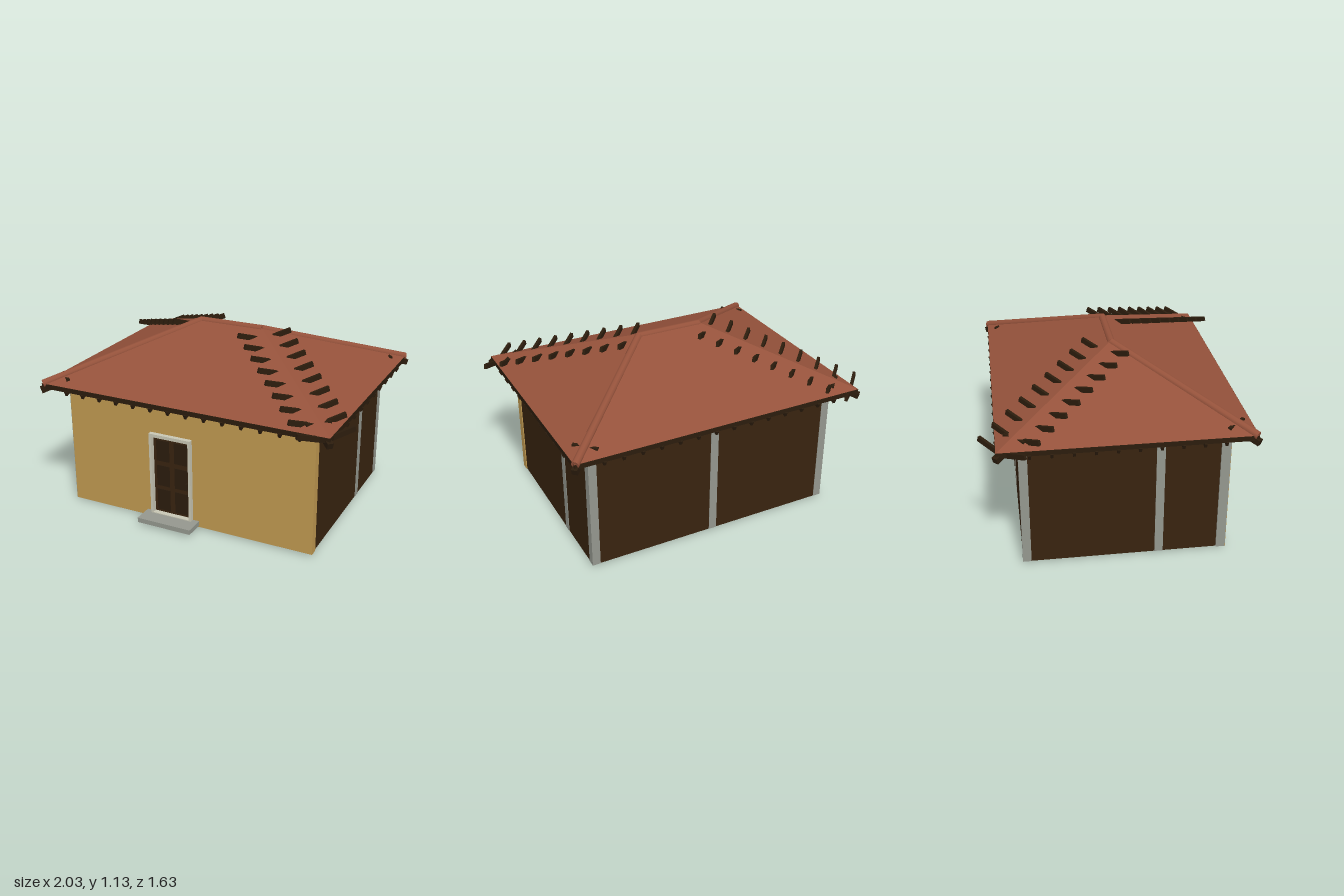
import * as THREE from 'three';

const mat = (name, color, side = THREE.FrontSide) => {
  const m = new THREE.MeshStandardMaterial({ color, side });
  m.name = name;
  return m;
};

export function createModel() {
  const root = new THREE.Group();
  root.name = 'house';

  const plaster = mat('ochre plaster', 0xbf9850);
  const tile = mat('terracotta tile', 0x95523b, THREE.DoubleSide);
  const timber = mat('dark timber', 0x2b1c0d, THREE.DoubleSide);
  const panelling = mat('brown panelling', 0x38230f);
  const stone = mat('grey stone', 0x94978e);
  const trim = mat('pale trim', 0xc8c6b4);

  const add = (geo, material, name, parent = root) => {
    const m = new THREE.Mesh(geo, material);
    m.name = name;
    parent.add(m);
    return m;
  };
  // Box given by its extents on each axis
  const box = (name, material, x0, x1, y0, y1, z0, z1, parent) => {
    const m = add(new THREE.BoxGeometry(x1 - x0, y1 - y0, z1 - z0), material, name, parent);
    m.position.set((x0 + x1) / 2, (y0 + y1) / 2, (z0 + z1) / 2);
    return m;
  };
  // Square beam running between two points
  const beam = (name, material, a, b, w, h, parent) => {
    const p = new THREE.Vector3(...a), q = new THREE.Vector3(...b);
    const m = add(new THREE.BoxGeometry(w, h, p.distanceTo(q)), material, name, parent);
    m.position.copy(p).lerp(q, 0.5);
    m.lookAt(q);
    return m;
  };
  const rect = (s, x0, x1, y0, y1) =>
    s.moveTo(x0, y0).lineTo(x1, y0).lineTo(x1, y1).lineTo(x0, y1).closePath();
  // Rectangular slab with a rectangular hole
  const pierced = (outer, hole, z0, z1) => {
    const s = rect(new THREE.Shape(), ...outer);
    s.holes.push(rect(new THREE.Path(), ...hole));
    return new THREE.ExtrudeGeometry(s, { depth: z1 - z0, bevelEnabled: false }).translate(0, 0, z0);
  };

  // Walls
  const walls = new THREE.Group();
  walls.name = 'walls';
  root.add(walls);
  const base = 0.01, top = 0.785;
  add(pierced([-0.803, 0.803, base, top], [-0.24, 0.035, 0.05, 0.575], 0.55, 0.602), plaster, 'frontWall', walls);
  box('backWall', panelling, -0.76, 0.76, base, top, -0.597, -0.56, walls);
  box('backTopPlate', stone, -0.76, 0.76, 0.772, 0.79, -0.6, -0.55, walls);
  for (const s of [1, -1]) {
    const x0 = s > 0 ? 0.76 : -0.797, x1 = s > 0 ? 0.797 : -0.76;
    box('sideWall', panelling, x0, x1, base, top, -0.56, 0.55, walls);
    const px = s > 0 ? 0.75 : -0.8;
    box('sideTopPlate', stone, px, px + 0.05, 0.772, 0.79, -0.56, 0.55, walls);
    box('cornerPillar', stone, px, px + 0.05, base, top, -0.6, -0.55, walls);
    box('sidePillar', stone, px, px + 0.05, base, top, -0.2 * s - 0.025, -0.2 * s + 0.025, walls);
  }
  box('backPillar', stone, -0.025, 0.025, base, top, -0.6, -0.55, walls);
  box('frontCornerPillar', stone, -0.806, -0.76, base, top, 0.545, 0.6, walls);

  // Door, frame and steps
  const door = new THREE.Group();
  door.name = 'door';
  root.add(door);
  add(pierced([-0.24, 0.035, 0.05, 0.58], [-0.225, 0.02, 0.055, 0.56], 0.545, 0.63), trim, 'doorFrame', door);
  box('doorLeaf', panelling, -0.226, 0.021, 0.052, 0.561, 0.57, 0.598, door);
  for (const x of [-0.205, -0.085])
    for (const [y0, y1] of [[0.07, 0.21], [0.235, 0.37], [0.4, 0.535]])
      box('doorPanel', timber, x, x + 0.085, y0, y1, 0.598, 0.604, door);
  box('doorHandle', timber, -0.003, 0.007, 0.25, 0.29, 0.598, 0.618, door);
  box('upperStep', stone, -0.28, 0.075, 0.02, 0.05, 0.6, 0.725);
  box('lowerStep', stone, -0.27, 0.06, 0, 0.02, 0.6, 0.67);

  // Hipped roof: tiled skin over a dark boarded underside
  const slope = 0.4236, ex = 0.92, ez = 0.72, ridge = 0.2;
  const roofY = d => 1.12 - slope * d;
  const hipped = drop => {
    const e = roofY(ez) - drop, r = roofY(0) - drop;
    const A = [-ex, e, ez], B = [ex, e, ez], C = [ex, e, -ez], D = [-ex, e, -ez];
    const L = [-ridge, r, 0], R = [ridge, r, 0];
    const g = new THREE.BufferGeometry();
    const tris = [A, B, R, A, R, L, B, C, R, C, D, L, C, L, R, D, A, L];
    g.setAttribute('position', new THREE.Float32BufferAttribute(tris.flat(), 3));
    g.computeVertexNormals();
    return g;
  };
  const roof = new THREE.Group();
  roof.name = 'roof';
  root.add(roof);
  add(hipped(0), tile, 'roofTiles', roof);
  add(hipped(0.028), timber, 'roofUnderside', roof);
  for (const s of [1, -1]) {
    box('longFascia', timber, -ex, ex, 0.785, 0.814, s * 0.715 - 0.006, s * 0.715 + 0.006, roof);
    box('shortFascia', timber, s * 0.915 - 0.006, s * 0.915 + 0.006, 0.785, 0.814, -ez, ez, roof);
  }

  // Rounded caps along the ridge and two opposite hips
  const cap = (name, a, b) => {
    const p = new THREE.Vector3(...a), q = new THREE.Vector3(...b);
    const m = add(new THREE.CylinderGeometry(0.024, 0.024, p.distanceTo(q), 10), tile, name, roof);
    m.position.copy(p).lerp(q, 0.5);
    m.quaternion.setFromUnitVectors(new THREE.Vector3(0, 1, 0), q.sub(p).normalize());
  };
  cap('ridgeCap', [-ridge - 0.01, 1.106, 0], [ridge + 0.01, 1.106, 0]);
  for (const s of [1, -1])
    cap('hipCap', [s * ridge, 1.108, 0], [s * 0.915, 0.812, -s * 0.715]);

  // Rafters showing under the eaves on all four sides
  const rafters = new THREE.Group();
  rafters.name = 'rafters';
  root.add(rafters);
  const under = d => roofY(d) - 0.04;
  for (const s of [1, -1]) {
    for (let k = 0; k < 14; k++) {
      const x = -0.748 + 0.115 * k, d = Math.max(0.02, Math.abs(x) - ridge + 0.02);
      beam('longSideRafter', timber, [x, under(0.722), s * 0.722], [x, under(d), s * d], 0.015, 0.028, rafters);
    }
    for (let k = 0; k < 10; k++) {
      const z = -0.54 + 0.12 * k, d = Math.abs(z) + 0.02;
      beam('shortSideRafter', timber, [s * (ridge + 0.722), under(0.722), z], [s * (ridge + d), under(d), z],
        0.015, 0.028, rafters);
    }
    // Hip rafters and short cross ties at the corners
    for (const t of [1, -1]) {
      beam('hipRafter', timber, [s * (ridge + 0.725), under(0.725), t * 0.725], [s * ridge, under(0), 0],
        0.035, 0.035, rafters);
      beam('cornerTie', timber, [s * 0.868, 0.828, t * 0.562], [s * 0.762, 0.828, t * 0.668], 0.02, 0.04, rafters);
    }
  }

  // Upturned cross bars that pierce the two uncapped hips
  const bars = new THREE.Group();
  bars.name = 'hipCrossBars';
  root.add(bars);
  for (const s of [1, -1])
    for (let k = 0; k < 9; k++) {
      const t = 0.045 + 0.08 * k, y = roofY(t) - 0.045;
      for (const d of [0.12, -0.12])
        beam('crossBar', timber, [s * (ridge + t), y, s * t],
          [s * (ridge + t + d), y + 0.045, s * (t - d)], 0.018, 0.03, bars);
    }

  return root;
}
